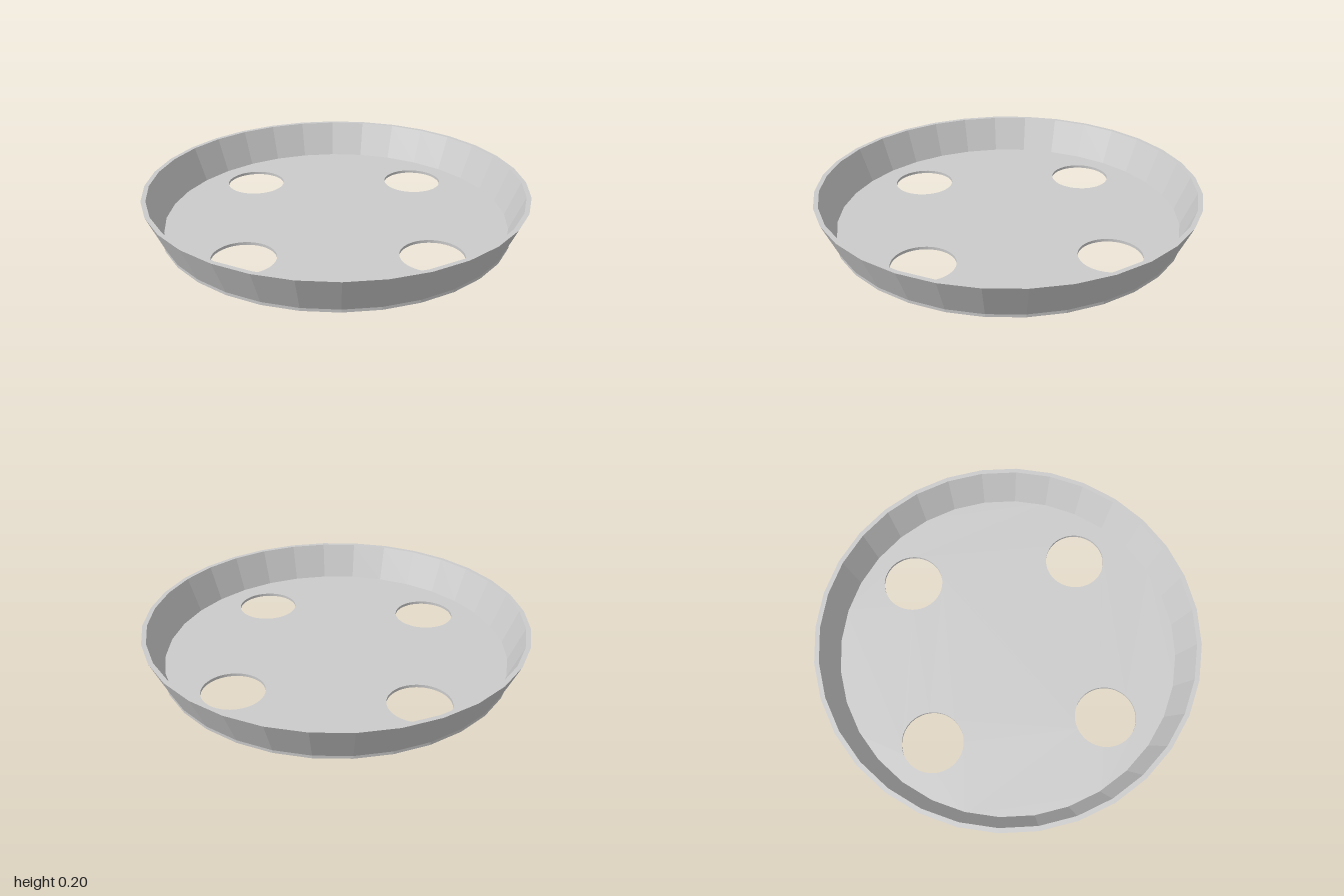
import * as THREE from 'three';

const SIDES = 32;
const FLOOR = 0.015;

export function createModel() {
  const group = new THREE.Group();
  group.name = 'tray';
  const material = new THREE.MeshStandardMaterial({ color: 0xcccccc, flatShading: true });

  // Base plate: a 32-sided disc with four round holes
  const disc = new THREE.Shape();
  for (let i = 0; i < SIDES; i++) {
    const a = (i / SIDES) * Math.PI * 2;
    const x = 0.917 * Math.cos(a), y = 0.917 * Math.sin(a);
    if (i === 0) disc.moveTo(x, y);
    else disc.lineTo(x, y);
  }
  disc.closePath();
  for (const x of [-0.455, 0.455]) {
    for (const y of [-0.447, 0.461]) {
      const hole = new THREE.Path();
      hole.absarc(x, y, 0.16, 0, Math.PI * 2, true);
      disc.holes.push(hole);
    }
  }
  const plate = new THREE.ExtrudeGeometry(disc, { depth: FLOOR, bevelEnabled: false, curveSegments: 24 });
  plate.rotateX(-Math.PI / 2);
  const base = new THREE.Mesh(plate, material);
  base.name = 'basePlate';
  group.add(base);

  // Flared wall: outer face, flat rim and inner face
  const profile = [[0.917, FLOOR], [1, 0.2], [0.976, 0.2], [0.9, FLOOR]]
    .map(([r, y]) => new THREE.Vector2(r, y));
  const wall = new THREE.Mesh(new THREE.LatheGeometry(profile, SIDES), material);
  wall.name = 'flaredWall';
  group.add(wall);

  return group;
}
